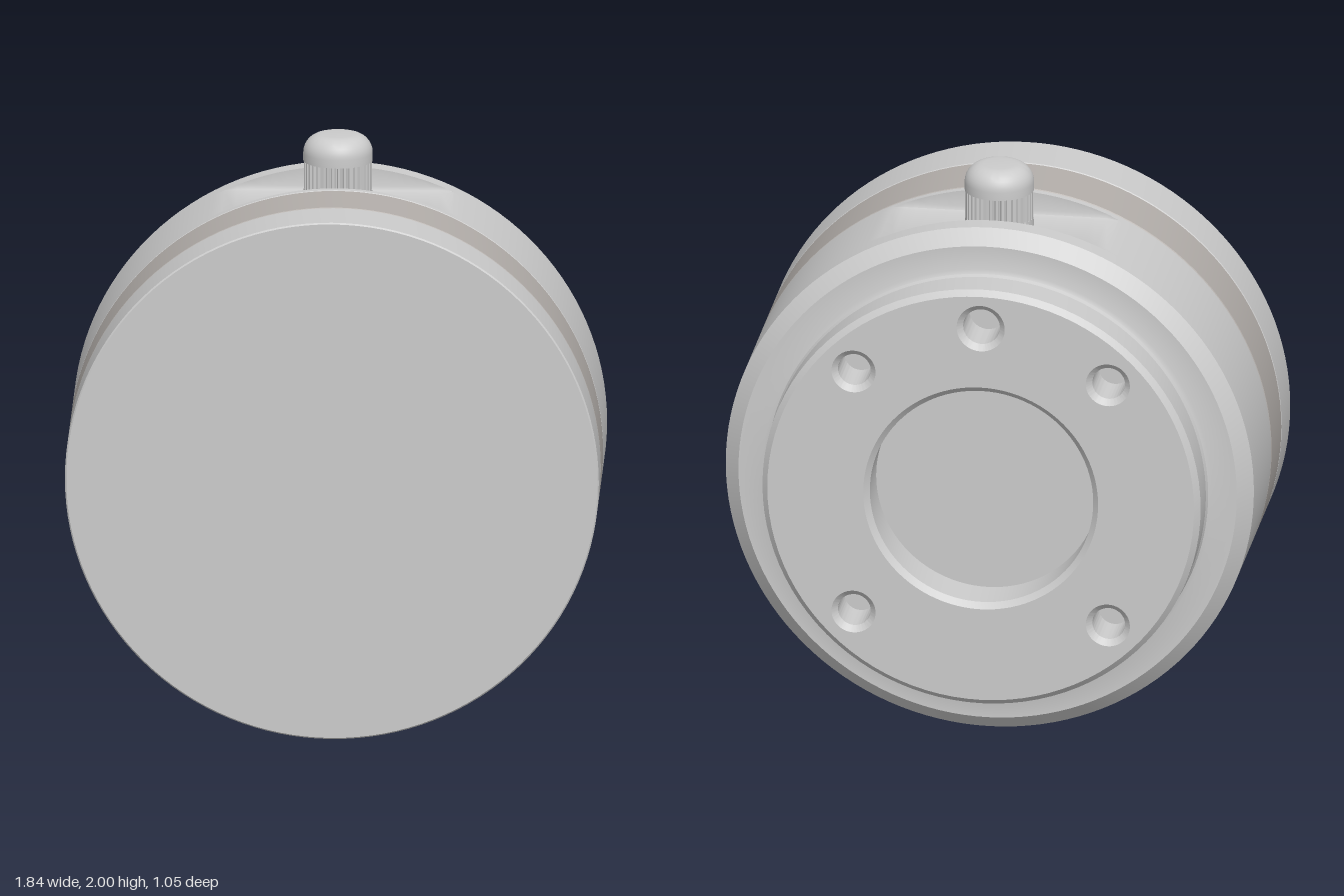
import * as THREE from 'three';
import { toCreasedNormals } from 'three/addons/utils/BufferGeometryUtils.js';

const R = 0.922;          // main body radius
const CY = 0.923;         // height of the body axis
const SEG = 128;
const FLAT = R * Math.cos((9 / SEG) * Math.PI * 2); // slot floor above the axis

const grey = new THREE.MeshStandardMaterial({ color: 0xcccccc });
const bandGrey = new THREE.MeshStandardMaterial({ color: 0xb3aeaa });

function part(name, geometry, material = grey, crease = 0.5) {
  const mesh = new THREE.Mesh(toCreasedNormals(geometry, crease), material);
  mesh.name = name;
  return mesh;
}

// Turned part along z. Profile rows run back to front: [radius, z, optional top cut height]
function turned(profile) {
  const geo = new THREE.LatheGeometry(profile.map(([r, z]) => new THREE.Vector2(r, z)), SEG);
  geo.rotateX(Math.PI / 2);
  const pos = geo.attributes.position;
  for (let i = 0; i < pos.count; i++) {
    const cut = profile[i % profile.length][2];
    if (cut !== undefined && pos.getY(i) > cut) pos.setY(i, cut);
  }
  return geo;
}

// Plain disc with tiny edge chamfers
function disc(z0, z1) {
  const c = 0.005;
  return turned([[0, z0], [R - c, z0], [R, z0 + c], [R, z1 - c], [R - c, z1], [0, z1]]);
}

// Rear boss with bevelled centre recess and bolt holes
function bossGeometry() {
  const shape = new THREE.Shape().absarc(0, 0, 0.765, 0, Math.PI * 2);
  const hole = (x, y, r) => shape.holes.push(new THREE.Path().absarc(x, y, r, 0, Math.PI * 2, true));
  hole(0, 0, 0.39);
  for (const sx of [-1, 1]) for (const sy of [-1, 1]) hole(sx * 0.444, sy * 0.444, 0.057);
  hole(0, 0.628, 0.064);
  const b = 0.02;
  const geo = new THREE.ExtrudeGeometry(shape, {
    depth: 0.185 - 2 * b, bevelEnabled: true, bevelThickness: b, bevelSize: b,
    bevelOffset: -b, bevelSegments: 1, curveSegments: 48,
  });
  return geo.translate(0, 0, -0.525 + b);
}

// Fluted ring of the knob
function knurlGeometry() {
  const teeth = 36, pts = [];
  for (let i = 0; i < teeth; i++) {
    [[0, 0.109], [0.2, 0.118], [0.65, 0.118], [0.85, 0.109]].forEach(([t, r]) => {
      const a = ((i + t) / teeth) * Math.PI * 2;
      pts.push(new THREE.Vector2(r * Math.cos(a), r * Math.sin(a)));
    });
  }
  const geo = new THREE.ExtrudeGeometry(new THREE.Shape(pts), { depth: 0.11, bevelEnabled: false });
  return geo.rotateX(-Math.PI / 2);
}

export function createModel() {
  const model = new THREE.Group();
  model.name = 'roundHousingWithKnob';

  const body = new THREE.Group();
  body.name = 'body';
  body.position.y = CY;
  model.add(body);

  body.add(part('frontDisc', disc(0.317, 0.522)));
  body.add(part('middleBand', disc(0.085, 0.317), bandGrey));

  // Housing: rear chamfer, boss fillet, and a flat slot across the top
  body.add(part('housing', turned([
    [0, -0.36], [0.765, -0.36], [0.765, -0.385], [0.771, -0.371], [0.785, -0.365],
    [0.87, -0.365], [R, -0.315],
    [R, -0.245], [R, -0.245, FLAT + 0.018], [R, -0.24, FLAT + 0.005], [R, -0.227, FLAT],
    [R, 0.037, FLAT], [R, 0.05, FLAT + 0.005], [R, 0.055, FLAT + 0.018], [R, 0.055],
    [R, 0.08], [R - 0.005, 0.085], [0, 0.085],
  ])));
  body.add(part('rearBoss', bossGeometry()));

  // Knob standing in the slot
  const knob = new THREE.Group();
  knob.name = 'knob';
  knob.position.set(0, CY + FLAT, -0.097);
  model.add(knob);

  const collar = new THREE.CylinderGeometry(0.118, 0.121, 0.052, 64);
  knob.add(part('knobCollar', collar.translate(0, 0.024, 0)));
  const knurl = part('knobKnurl', knurlGeometry());
  knurl.position.y = 0.046;
  knob.add(knurl);

  const top = 2 - CY - FLAT, fillet = 0.065;
  const profile = [new THREE.Vector2(0, 0.15), new THREE.Vector2(0.12, 0.15)];
  for (let i = 0; i <= 8; i++) {
    const a = (i / 8) * Math.PI / 2;
    profile.push(new THREE.Vector2(0.12 - fillet + fillet * Math.cos(a), top - fillet + fillet * Math.sin(a)));
  }
  profile.push(new THREE.Vector2(0, top));
  knob.add(part('knobCap', new THREE.LatheGeometry(profile, 64)));

  return model;
}
